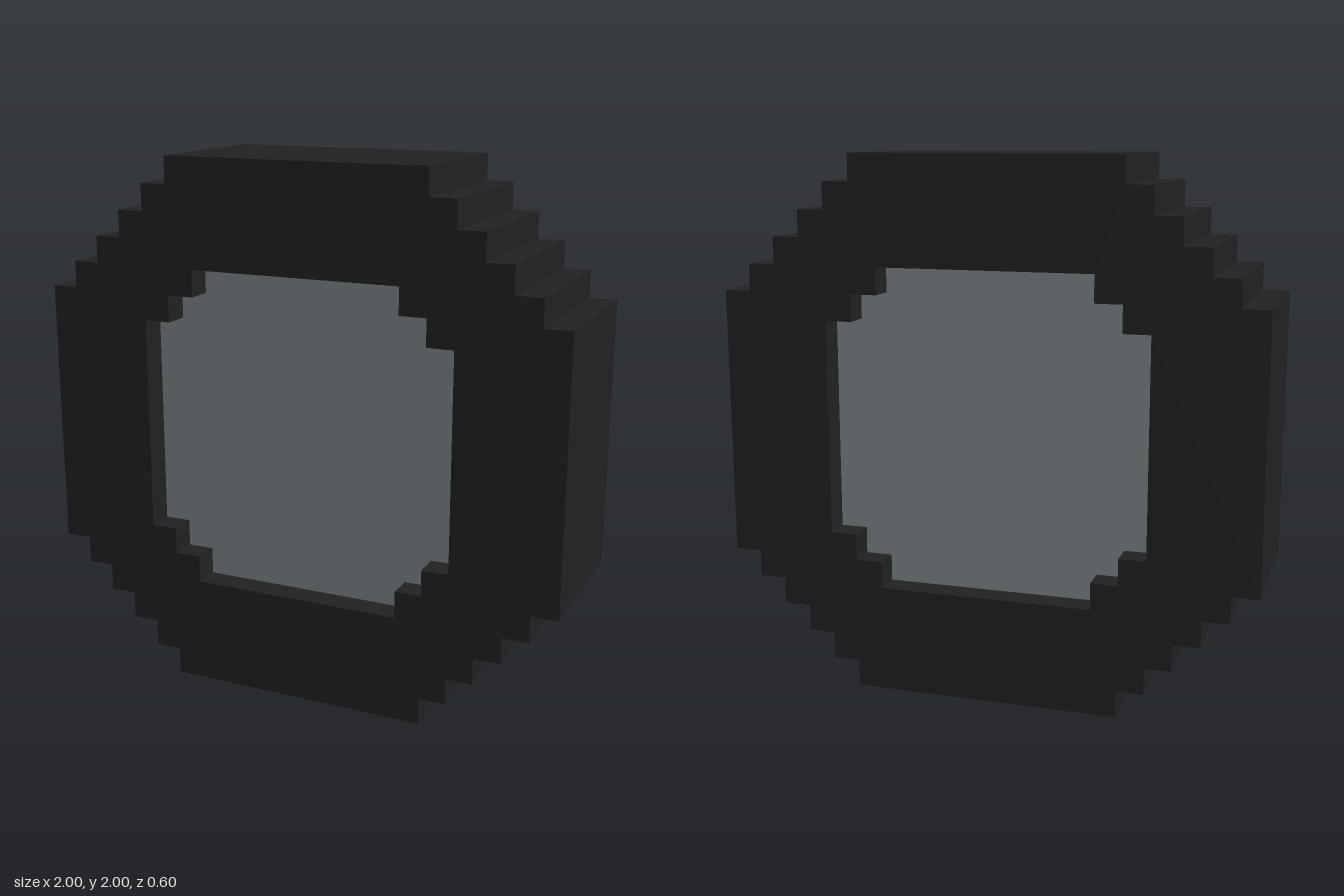
import * as THREE from 'three';

const STEP = 0.1;

// Corner points of one stepped quadrant, from (outer, inner) to (inner, outer)
function quadrant(outer, inner) {
  const points = [];
  const steps = Math.round((outer - inner) / STEP);
  for (let i = 0; i <= steps; i++) {
    const x = outer - i * STEP;
    const y = inner + i * STEP;
    points.push([x, y]);
    if (i < steps) points.push([x - STEP, y]);
  }
  return points;
}

// Closed stepped outline, made by turning the quadrant four times
function steppedOutline(outer, inner, PathType) {
  let corners = quadrant(outer, inner);
  const points = [];
  for (let q = 0; q < 4; q++) {
    points.push(...corners.map(([x, y]) => new THREE.Vector2(x, y)));
    corners = corners.map(([x, y]) => [-y, x]);
  }
  return new PathType(points);
}

// Extrusion centred on z
function slab(shape, depth) {
  return new THREE.ExtrudeGeometry(shape, { depth, bevelEnabled: false }).translate(0, 0, -depth / 2);
}

export function createModel() {
  const rubber = new THREE.MeshStandardMaterial({ color: 0x222222 });
  rubber.name = 'black rubber';
  const metal = new THREE.MeshStandardMaterial({ color: 0x7f888a });
  metal.name = 'grey metal';

  const wheel = new THREE.Group();
  wheel.name = 'wheel';
  wheel.position.y = 1;

  // Tyre ring with a stepped opening
  const ring = steppedOutline(1, 0.5, THREE.Shape);
  ring.holes.push(steppedOutline(0.6, 0.4, THREE.Path));
  const tyre = new THREE.Mesh(slab(ring, 0.6), rubber);
  tyre.name = 'tyre';

  // Hub disc, recessed on both sides
  const hub = new THREE.Mesh(slab(steppedOutline(0.6, 0.4, THREE.Shape), 0.4), metal);
  hub.name = 'hub';

  wheel.add(tyre, hub);
  const model = new THREE.Group();
  model.add(wheel);
  return model;
}
